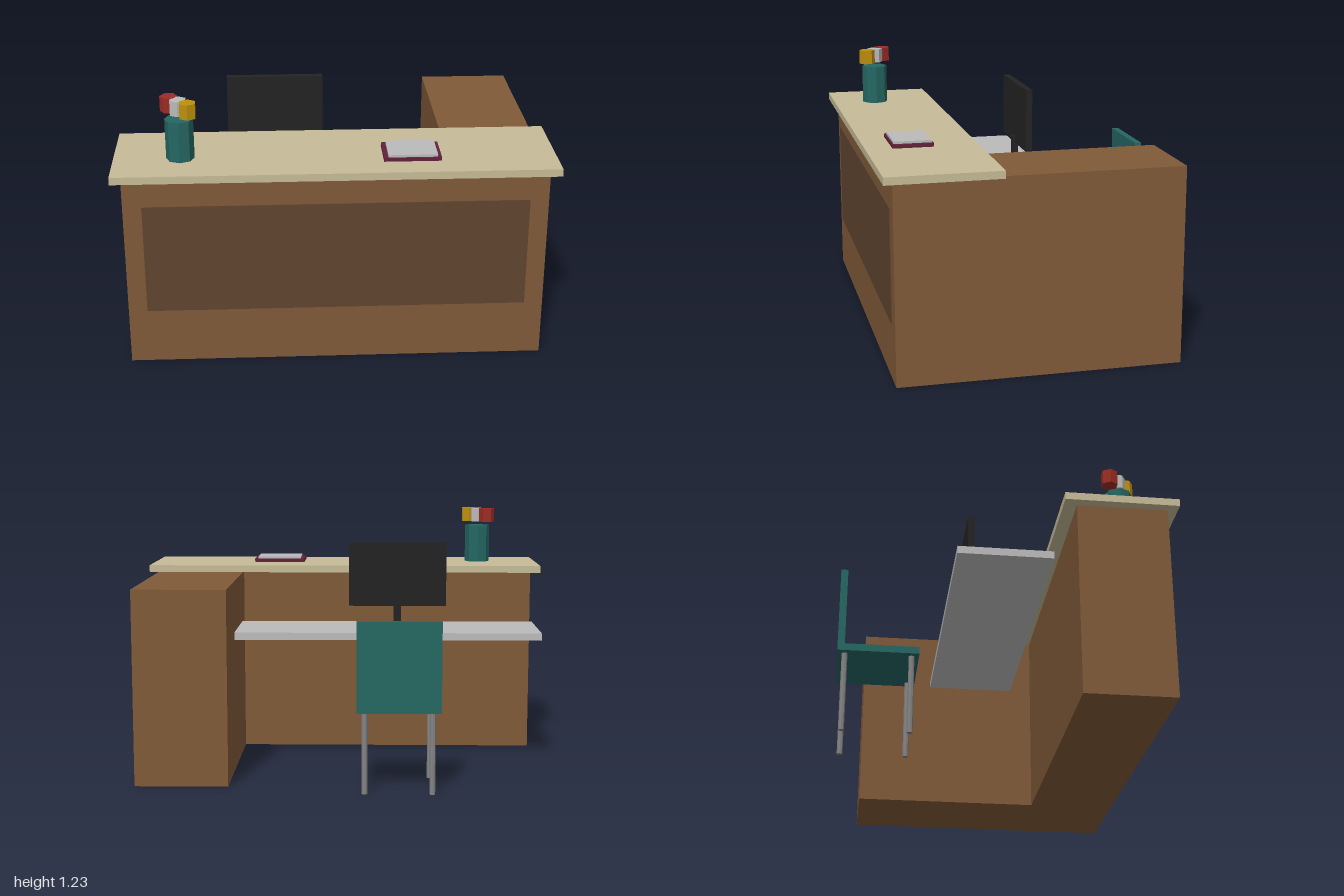
import * as THREE from 'three';

const paint = (name, color) => {
  const m = new THREE.MeshStandardMaterial({ color });
  m.name = name;
  return m;
};

export function createModel() {
  const wood = paint('wood', 0x805a38);
  const darkWood = paint('darkWood', 0x60442f);
  const stone = paint('beigeTop', 0xc6bb97);
  const grey = paint('lightGrey', 0xbbbbbb);
  const teal = paint('teal', 0x256763);
  const black = paint('black', 0x232323);
  const metal = paint('metal', 0x848484);
  const maroon = paint('maroon', 0x62203a);
  const red = paint('red', 0x9c2c24);
  const yellow = paint('yellow', 0xbf900e);

  const model = new THREE.Group();
  model.name = 'receptionDesk';

  const group = (name) => {
    const g = new THREE.Group();
    g.name = name;
    model.add(g);
    return g;
  };

  // Box given by its limits on each axis
  const box = (parent, name, mat, [x0, x1], [y0, y1], [z0, z1]) => {
    const mesh = new THREE.Mesh(new THREE.BoxGeometry(x1 - x0, y1 - y0, z1 - z0), mat);
    mesh.position.set((x0 + x1) / 2, (y0 + y1) / 2, (z0 + z1) / 2);
    mesh.name = name;
    parent.add(mesh);
  };

  // Upright flat-sided prism
  const prism = (parent, name, mat, r, sides, x, [y0, y1], z, turn = 0) => {
    const geo = new THREE.CylinderGeometry(r, r, y1 - y0, sides).toNonIndexed();
    geo.computeVertexNormals();
    const mesh = new THREE.Mesh(geo, mat);
    mesh.position.set(x, (y0 + y1) / 2, z);
    mesh.rotation.y = turn;
    mesh.name = name;
    parent.add(mesh);
  };

  // L-shaped desk with raised counter and lower work surface
  const desk = group('desk');
  box(desk, 'frontBody', wood, [-0.955, 0.955], [0, 0.915], [0.285, 0.7]);
  box(desk, 'sideBody', wood, [0.52, 0.955], [0, 0.915], [-0.6, 0.285]);
  box(desk, 'frontPanel', darkWood, [-0.87, 0.87], [0.262, 0.785], [0.699, 0.704]);
  box(desk, 'counterTop', stone, [-1, 1], [0.915, 0.95], [0.225, 0.745]);
  box(desk, 'workSurface', grey, [-0.955, 0.52], [0.635, 0.67], [-0.25, 0.178]);

  // Monitor
  const monitor = group('monitor');
  box(monitor, 'screen', black, [-0.5, -0.03], [0.79, 1.097], [-0.157, -0.124]);
  box(monitor, 'neck', black, [-0.283, -0.247], [0.685, 0.82], [-0.14, -0.11]);
  box(monitor, 'base', black, [-0.345, -0.185], [0.67, 0.687], [-0.185, -0.065]);

  // Chair
  const chair = group('chair');
  box(chair, 'seat', teal, [-0.455, -0.073], [0.376, 0.41], [-0.747, -0.372]);
  box(chair, 'backrest', teal, [-0.455, -0.073], [0.41, 0.79], [-0.747, -0.714]);
  for (const x of [-0.417, -0.11])
    for (const z of [-0.713, -0.406])
      prism(chair, 'leg', metal, 0.0135, 8, x, [0, 0.376], z);

  // Cup with coloured tips above it
  const cup = group('penCup');
  prism(cup, 'cup', teal, 0.064, 8, -0.698, [0.95, 1.14], 0.532);
  prism(cup, 'redTip', red, 0.04, 6, -0.743, [1.16, 1.23], 0.485, Math.PI / 6);
  prism(cup, 'greyTip', grey, 0.04, 6, -0.7, [1.16, 1.229], 0.53);
  prism(cup, 'yellowTip', yellow, 0.04, 6, -0.655, [1.16, 1.23], 0.575);

  // Guest book
  const book = group('guestBook');
  box(book, 'cover', maroon, [0.215, 0.475], [0.95, 0.967], [0.433, 0.622]);
  box(book, 'pages', grey, [0.235, 0.458], [0.967, 0.978], [0.44, 0.615]);

  return model;
}
